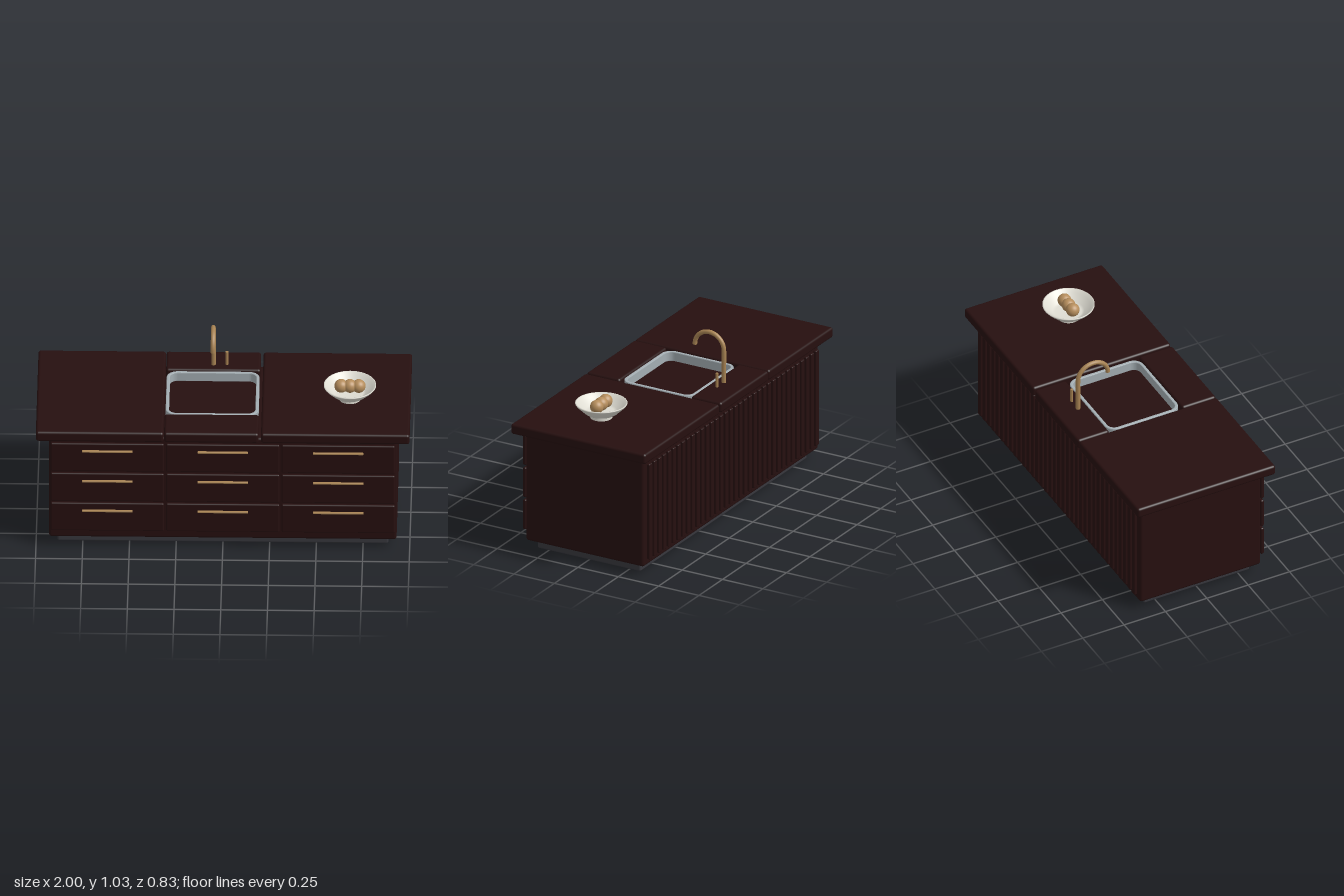
import * as THREE from 'three';
import { RoundedBoxGeometry } from 'three/addons/geometries/RoundedBoxGeometry.js';

const mat = (name, color, extra = {}) => {
  const m = new THREE.MeshStandardMaterial({ color, ...extra });
  m.name = name;
  return m;
};

// Rounded rectangle outline, centred on the origin
function roundedRect(w, h, r, Type) {
  const p = new Type(), x = w / 2, y = h / 2;
  p.moveTo(-x + r, -y);
  p.lineTo(x - r, -y).absarc(x - r, -y + r, r, -Math.PI / 2, 0);
  p.lineTo(x, y - r).absarc(x - r, y - r, r, 0, Math.PI / 2);
  p.lineTo(-x + r, y).absarc(-x + r, y - r, r, Math.PI / 2, Math.PI);
  p.lineTo(-x, -y + r).absarc(-x + r, -y + r, r, Math.PI, Math.PI * 1.5);
  return p;
}

export function createModel() {
  const model = new THREE.Group();
  model.name = 'kitchenIsland';

  const wood = mat('dark wood', 0x260f0f);
  const plinthGrey = mat('charcoal', 0x37373d);
  const brass = mat('brass', 0xa88353);
  const steel = mat('steel', 0xa3adb2);
  const ceramic = mat('ceramic', 0xdedcd2, { side: THREE.DoubleSide });
  const fruitTan = mat('fruit tan', 0xb58d5c);

  const add = (name, geometry, material, x = 0, y = 0, z = 0, parent = model) => {
    const m = new THREE.Mesh(geometry, material);
    m.name = name;
    m.position.set(x, y, z);
    parent.add(m);
    return m;
  };
  // Rounded block given by its limits on each axis
  const block = (name, material, [x0, x1], [y0, y1], [z0, z1], r, parent) =>
    add(name, new RoundedBoxGeometry(x1 - x0, y1 - y0, z1 - z0, 3, r), material,
      (x0 + x1) / 2, (y0 + y1) / 2, (z0 + z1) / 2, parent);

  // Plinth and cabinet
  block('plinth', plinthGrey, [-0.885, 0.885], [0, 0.08], [-0.32, 0.32], 0.01);
  block('cabinetBody', wood, [-0.93, 0.93], [0.052, 0.685], [-0.365, 0.365], 0.015);

  // Drawer fronts with bar handles, three by three
  const drawers = new THREE.Group();
  drawers.name = 'drawers';
  model.add(drawers);
  for (const x of [-0.618, 0, 0.618]) {
    for (const y of [0.195, 0.382, 0.57]) {
      block('drawerFront', wood, [x - 0.303, x + 0.303], [y - 0.087, y + 0.087], [0.369, 0.389], 0.008, drawers);
      block('drawerHandle', brass, [x - 0.135, x + 0.135], [y + 0.04, y + 0.049], [0.389, 0.405], 0.003, drawers);
    }
  }

  // Vertical slats on the back
  const slats = new THREE.Group();
  slats.name = 'backSlats';
  model.add(slats);
  const slatCount = 36, pitch = 0.0505;
  for (let i = 0; i < slatCount; i++) {
    const x = (i - (slatCount - 1) / 2) * pitch;
    block('slat', wood, [x - 0.016, x + 0.016], [0.09, 0.645], [-0.386, -0.367], 0.006, slats);
  }

  // Worktop slabs around the sink opening
  const top = [0.686, 0.745];
  block('worktopRight', wood, [-1, -0.317], top, [-0.416, 0.418], 0.014);
  block('worktopLeft', wood, [0.205, 1], top, [-0.416, 0.418], 0.014);
  block('worktopBack', wood, [-0.314, 0.192], top, [-0.416, -0.228], 0.014);
  block('worktopFront', wood, [-0.314, 0.192], top, [0.214, 0.418], 0.014);

  // Sink surround
  const ring = roundedRect(0.49, 0.43, 0.055, THREE.Shape);
  ring.holes.push(roundedRect(0.47, 0.41, 0.045, THREE.Path));
  const ringGeo = new THREE.ExtrudeGeometry(ring, {
    depth: 0.046, bevelThickness: 0.005, bevelSize: 0.004, bevelSegments: 2, curveSegments: 8,
  });
  ringGeo.rotateX(-Math.PI / 2);
  add('sinkWall', ringGeo, steel, -0.061, 0.687, -0.007);

  // Gooseneck tap: straight riser, then a half circle forward
  const neck = new THREE.CurvePath();
  const pts = [new THREE.Vector3(0, 0.74, -0.285), new THREE.Vector3(0, 0.84, -0.285)];
  for (let i = 0; i <= 12; i++) {
    const a = Math.PI * (1 - i / 12);
    pts.push(new THREE.Vector3(0, 0.93 + 0.0885 * Math.sin(a), -0.195 + 0.09 * Math.cos(a)));
  }
  neck.add(new THREE.CatmullRomCurve3(pts));
  add('tap', new THREE.TubeGeometry(neck, 56, 0.0125, 14), brass, -0.061);
  const tapEnd = add('tapOutlet', new THREE.CircleGeometry(0.0125, 14), brass, -0.061, 0.93, -0.105);
  tapEnd.rotation.x = Math.PI / 2;
  add('tapLever', new THREE.CylinderGeometry(0.008, 0.008, 0.085, 14), brass, 0.011, 0.7825, -0.285);

  // Footed bowl with three round fruits
  const bowl = new THREE.Group();
  bowl.name = 'fruitBowl';
  bowl.position.set(0.675, 0, 0.045);
  model.add(bowl);
  const profile = [
    [0, 0.769], [0.078, 0.769], [0.09, 0.776], [0.128, 0.812], [0.14, 0.826], [0.14, 0.831],
    [0.134, 0.831], [0.12, 0.815], [0.085, 0.785], [0.07, 0.779], [0, 0.777],
  ].map(([r, y]) => new THREE.Vector2(r, y));
  add('bowlDish', new THREE.LatheGeometry(profile, 40), ceramic, 0, 0, 0, bowl);
  add('bowlFoot', new THREE.CylinderGeometry(0.06, 0.06, 0.027, 32), ceramic, 0, 0.757, 0, bowl);
  for (const x of [-0.047, 0, 0.047]) {
    add('fruit', new THREE.SphereGeometry(0.037, 24, 16), fruitTan, x, 0.823, 0, bowl);
  }

  return model;
}
